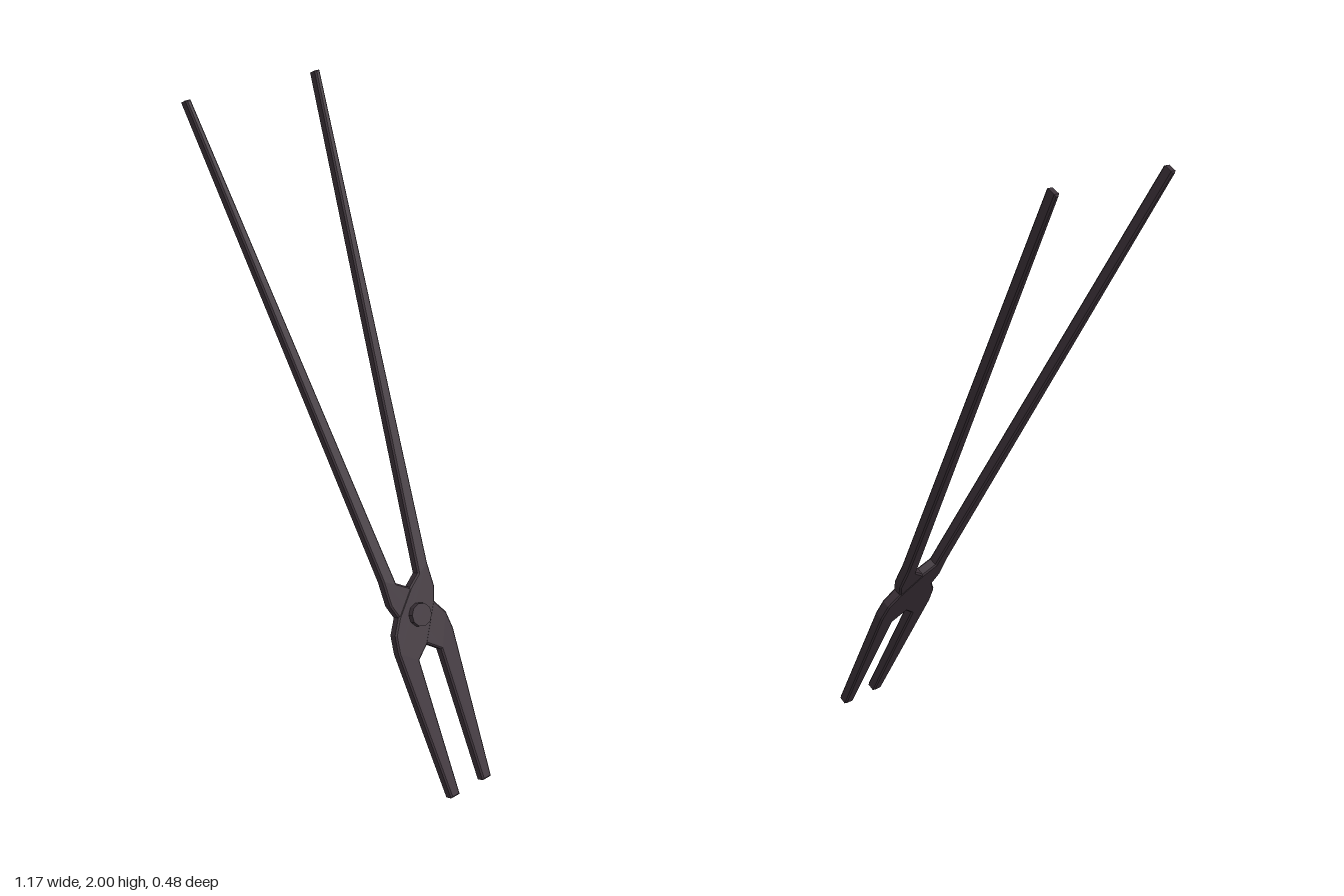
import * as THREE from 'three';

export function createModel() {
  const model = new THREE.Group();
  model.name = 'tongs';
  const iron = new THREE.MeshStandardMaterial({ color: 0x3b3138, flatShading: true });
  iron.name = 'dark iron';

  // One arm, measured from the rivet: handle on one side, jaw on the other
  const outline = [
    [0.222, 1.697], [0.240, 1.697], [0.088, 0.14], [0.088, 0.06], [0.072, 0.017],
    [0, -0.099], [-0.045, -0.135], [-0.049, -0.589], [-0.084, -0.589],
    [-0.111, -0.09], [-0.103, -0.031], [-0.072, 0.017], [0, 0.091], [0.043, 0.121],
  ];
  const thickness = 0.036, bevel = 0.005;

  function arm(side, name) {
    const shape = new THREE.Shape(outline.map(([u, v]) => new THREE.Vector2(u * side, v)));
    const geometry = new THREE.ExtrudeGeometry(shape, {
      depth: thickness - 2 * bevel,
      bevelThickness: bevel, bevelSize: bevel, bevelOffset: -bevel, bevelSegments: 1,
    });
    geometry.translate(0, 0, bevel - thickness / 2);
    const mesh = new THREE.Mesh(geometry, iron);
    mesh.name = name;
    mesh.position.z = side * 0.001; // one arm laps just over the other
    return mesh;
  }

  // Both arms hinge on the rivet, swung slightly to one side
  const hinge = new THREE.Group();
  hinge.name = 'hingedArms';
  hinge.position.set(-0.034, -0.554, 0);
  hinge.rotation.z = -0.02;
  hinge.add(arm(1, 'rearArm'), arm(-1, 'frontArm'));

  // Rivet head stands proud on one face
  const rivet = new THREE.Mesh(new THREE.CylinderGeometry(0.037, 0.04, 0.037, 10), iron);
  rivet.name = 'rivet';
  rivet.rotation.x = Math.PI / 2;
  rivet.position.z = 0.0185;
  hinge.add(rivet);

  // Turn the flat face sideways, then lean the tool
  const facing = new THREE.Group();
  facing.name = 'facing';
  facing.rotation.y = Math.PI / 2;
  facing.add(hinge);
  const lean = new THREE.Group();
  lean.name = 'lean';
  lean.rotation.z = Math.PI / 6;
  lean.position.y = 1;
  lean.add(facing);
  model.add(lean);
  return model;
}
